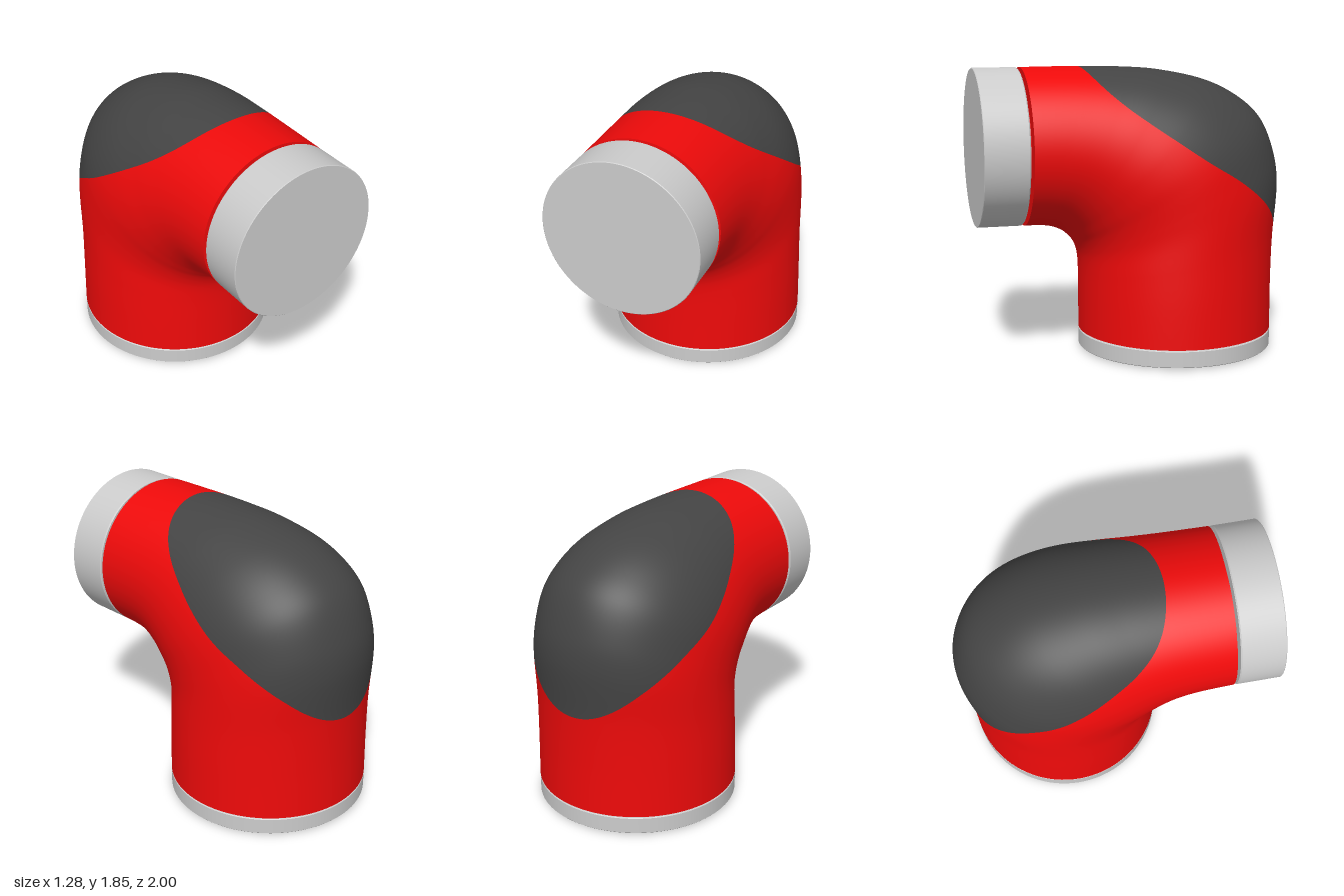
import * as THREE from 'three';

const RED = 0xee0a0a, DARK = 0x444444, GREY = 0xcccccc;
const curve = pts => new THREE.SplineCurve(pts.map(p => new THREE.Vector2(p[0], p[1])));

// Elbow stations: inner (z, y), outer (z, y), half width
const stations = [
  [0.32, 0.125, -0.96, 0.125, 0.64],
  [0.32, 0.35, -0.96, 0.45, 0.632],
  [0.322, 0.525, -0.97, 0.75, 0.622],
  [0.33, 0.62, -0.997, 1.09, 0.615],
  [0.345, 0.68, -0.965, 1.31, 0.613],
  [0.37, 0.73, -0.875, 1.515, 0.61],
  [0.40, 0.765, -0.72, 1.655, 0.60],
  [0.44, 0.80, -0.5, 1.76, 0.577],
  [0.49, 0.825, -0.2, 1.825, 0.543],
  [0.547, 0.842, 0.06, 1.846, 0.52],
  [0.62, 0.848, 0.327, 1.852, 0.507],
  [0.70, 0.85, 0.70, 1.85, 0.5],
];
const inner = curve(stations.map(s => [s[0], s[1]]));
const outer = curve(stations.map(s => [s[2], s[3]]));
const width = curve(stations.map((s, i) => [s[4], i]));
const N = stations.length - 1;
const T0 = 2 / N, T1 = 10 / N; // extent of the dark cap along the elbow

// Edge of the dark cap in the side plane (z, y)
const seam = curve([[-0.97, 0.75], [-0.82, 0.96], [-0.606, 1.137], [-0.34, 1.30],
  [0, 1.533], [0.15, 1.65], [0.25, 1.75], [0.327, 1.852]]);

// Point on the elbow: t along it, a around it (0 = outer side, PI = inner side)
function surface(t, a) {
  const i = inner.getPoint(t), o = outer.getPoint(t);
  const p = o.lerp(i, (1 - Math.cos(a)) / 2);
  return new THREE.Vector3(width.getPoint(t).x * Math.sin(a), p.y, p.x);
}

function surfaceNormal(t, a) {
  const e = 1e-3, ta = Math.max(0, t - e), tb = Math.min(1, t + e);
  const dt = surface(tb, a).sub(surface(ta, a));
  const da = surface(t, a + e).sub(surface(t, a - e));
  return dt.cross(da).normalize();
}

// Angle at which the cap edge crosses the section at t
function seamAngle(t) {
  if (t <= T0 + 1e-9 || t >= T1 - 1e-9) return 0;
  const o = outer.getPoint(t), d = inner.getPoint(t).sub(o);
  let lo = 0, hi = 1;
  const side = s => seam.getPoint(s).sub(o).cross(d);
  const first = Math.sign(side(0));
  for (let k = 0; k < 40; k++) {
    const mid = (lo + hi) / 2;
    if (Math.sign(side(mid)) === first) lo = mid; else hi = mid;
  }
  const f = seam.getPoint(lo).sub(o).dot(d) / d.lengthSq();
  return Math.acos(1 - 2 * THREE.MathUtils.clamp(f, 0, 1));
}

// Skin between two angles at every station
function patch(ts, range, cols) {
  const pos = [], nor = [], idx = [];
  ts.forEach((t, r) => {
    const [a0, a1] = range(t);
    for (let c = 0; c <= cols; c++) {
      const a = a0 + (a1 - a0) * c / cols;
      pos.push(...surface(t, a).toArray());
      nor.push(...surfaceNormal(t, a).toArray());
      if (r && c) {
        const q = r * (cols + 1) + c, p = q - cols - 1;
        idx.push(p - 1, q - 1, p, q - 1, q, p);
      }
    }
  });
  const g = new THREE.BufferGeometry();
  g.setAttribute('position', new THREE.Float32BufferAttribute(pos, 3));
  g.setAttribute('normal', new THREE.Float32BufferAttribute(nor, 3));
  g.setIndex(idx);
  return g;
}

function steps(a, b, n, ease) {
  return Array.from({ length: n + 1 }, (_, i) => {
    const u = i / n;
    return a + (b - a) * (ease ? (1 - Math.cos(Math.PI * u)) / 2 : u);
  });
}

export function createModel() {
  const group = new THREE.Group();
  const add = (name, geo, color, x = 0, y = 0, z = 0) => {
    const mesh = new THREE.Mesh(geo, new THREE.MeshStandardMaterial({ color, side: THREE.DoubleSide }));
    mesh.name = name;
    mesh.position.set(x, y, z);
    group.add(mesh);
    return mesh;
  };

  // Red elbow shell and the dark cap set into its outer bend
  const capSteps = steps(T0, T1, 90, true);
  const bodySteps = [...steps(0, T0, 12).slice(0, -1), ...capSteps, ...steps(T1, 1, 8).slice(1)];
  add('elbowBody', patch(bodySteps, t => [seamAngle(t), 2 * Math.PI - seamAngle(t)], 96), RED);
  add('elbowCap', patch(capSteps, t => [-seamAngle(t), seamAngle(t)], 64), DARK);

  // Closing faces of the elbow
  add('bodyBottom', new THREE.CircleGeometry(0.64, 96).rotateX(Math.PI / 2), RED, 0, 0.125, -0.32);
  add('bodyFront', new THREE.CircleGeometry(0.5, 96), RED, 0, 1.35, 0.7);

  // Joint necks seen in the narrow gaps
  add('baseNeck', new THREE.CylinderGeometry(0.62, 0.62, 0.03, 96), RED, 0, 0.115, -0.32);
  add('frontNeck', new THREE.CylinderGeometry(0.4, 0.4, 0.06, 96).rotateX(Math.PI / 2), RED, 0, 1.35, 0.71);

  // Base ring with a slightly relieved lower edge
  const ring = (r, h, lip, drop) => {
    const outline = [[0, 0], [r - lip, 0], [r - 0.004, drop], [r, drop + 0.004],
      [r, h - 0.004], [r - 0.004, h], [0, h]];
    // doubled corners keep the edges crisp
    const pts = outline.flatMap((p, i) => i && i < outline.length - 1 ? [p, p] : [p]);
    return new THREE.LatheGeometry(pts.map(p => new THREE.Vector2(...p)), 96);
  };
  add('baseRing', ring(0.64, 0.117, 0.13, 0.01), GREY, 0, 0, -0.32);

  // Output flange on the front
  add('frontFlange', ring(0.5, 0.28, 0.006, 0.003).rotateX(Math.PI / 2), GREY, 0, 1.35, 0.72);

  return group;
}
